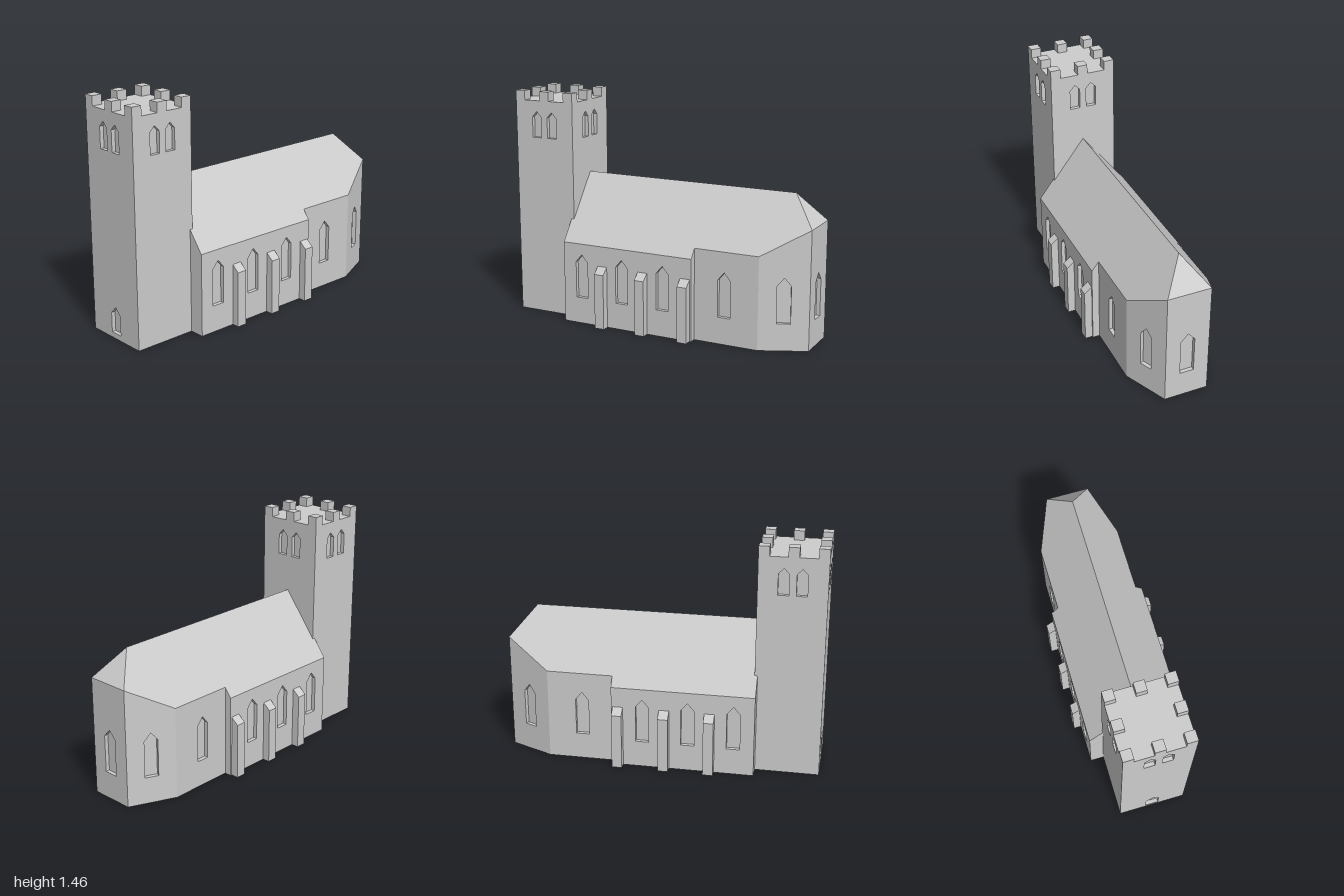
import * as THREE from 'three';

const stone = new THREE.MeshStandardMaterial({ color: 0xcccccc });
stone.name = 'stone';

const RECESS = 0.025;
const EAVE = 0.31, CHANCEL = 0.265, APSE = 0.14, RIDGE = 0.93;
// every roof slope lies on one plane falling away from the ridge
const roofY = (z) => RIDGE - 1.306 * Math.abs(z);

function add(parent, name, geometry) {
  const mesh = new THREE.Mesh(geometry, stone);
  mesh.name = name;
  parent.add(mesh);
  return mesh;
}

// flat convex polygon, corners counter-clockwise seen from outside
function face(parent, name, pts) {
  const pos = [];
  for (let i = 1; i < pts.length - 1; i++) pos.push(...pts[0], ...pts[i], ...pts[i + 1]);
  const g = new THREE.BufferGeometry();
  g.setAttribute('position', new THREE.Float32BufferAttribute(pos, 3));
  g.computeVertexNormals();
  return add(parent, name, g);
}

// mirrored pair of faces across z = 0
function facePair(parent, name, pts) {
  face(parent, name, pts);
  face(parent, name, pts.map(([x, y, z]) => [x, y, -z]).reverse());
}

// outline of a pointed window: centre u, half width w, sill, springing, peak
const lancet = ({ u, w, y0, y1, y2 }) =>
  [[u - w, y0], [u + w, y0], [u + w, y1], [u, y2], [u - w, y1]].map(([x, y]) => new THREE.Vector2(x, y));

// wall from a to b (left to right seen from outside) with recessed windows
function wall(parent, name, a, b, ha, hb, windows) {
  const dx = b[0] - a[0], dz = b[1] - a[1], len = Math.hypot(dx, dz);
  const group = new THREE.Group();
  group.name = name;
  group.position.set(a[0], 0, a[1]);
  group.rotation.y = Math.atan2(-dz, dx);
  const shape = new THREE.Shape([[0, 0], [len, 0], [len, hb], [0, ha]].map(([x, y]) => new THREE.Vector2(x, y)));
  for (const win of windows) {
    shape.holes.push(new THREE.Path(lancet(win)));
    const pane = add(group, 'windowRecess', new THREE.ShapeGeometry(new THREE.Shape(lancet(win))));
    pane.position.z = -RECESS;
  }
  const g = new THREE.ExtrudeGeometry(shape, { depth: RECESS, bevelEnabled: false });
  add(group, name + 'Surface', g.translate(0, 0, -RECESS));
  parent.add(group);
}

// the same wall on the front and, mirrored, on the back
function wallPair(parent, name, a, b, ha, hb, windows) {
  const len = Math.hypot(b[0] - a[0], b[1] - a[1]);
  wall(parent, name, a, b, ha, hb, windows);
  wall(parent, name, [b[0], -b[1]], [a[0], -a[1]], hb, ha, windows.map((w) => ({ ...w, u: len - w.u })));
}

const tall = (u) => ({ u, w: 0.042, y0: 0.17, y1: 0.405, y2: 0.455 });

function buildTower() {
  const tower = new THREE.Group();
  tower.name = 'tower';
  const x0 = -1, x1 = -0.582, z0 = -0.223, z1 = 0.211, top = 1.4;
  const corners = [[x0, z1], [x1, z1], [x1, z0], [x0, z0]];
  const names = ['towerFrontWall', 'towerEastWall', 'towerBackWall', 'towerWestWall'];
  names.forEach((name, i) => {
    const a = corners[i], b = corners[(i + 1) % 4];
    const mid = Math.hypot(b[0] - a[0], b[1] - a[1]) / 2;
    const windows = [-0.055, 0.055].map((d) => ({ u: mid + d, w: 0.033, y0: 1.163, y1: 1.295, y2: 1.33 }));
    if (i === 3) windows.push({ u: mid, w: 0.042, y0: 0.035, y1: 0.16, y2: 0.205 });
    wall(tower, name, a, b, top, top, windows);
  });
  face(tower, 'towerRoof', corners.map(([x, z]) => [x, top, z]));
  face(tower, 'towerBase', corners.map(([x, z]) => [x, 0, z]).reverse());

  // battlements: a block on each corner and in the middle of each side
  const s = 0.066, h = 0.06;
  for (const i of [-1, 0, 1]) for (const j of [-1, 0, 1]) {
    if (i === 0 && j === 0) continue;
    const block = add(tower, 'merlon', new THREE.BoxGeometry(s, h, s));
    block.position.set((x0 + x1) / 2 + i * (x1 - x0 - s) / 2, top + h / 2, (z0 + z1) / 2 + j * (z1 - z0 - s) / 2);
  }
  return tower;
}

function buildNave() {
  const nave = new THREE.Group();
  nave.name = 'nave';
  const x0 = -0.6, x1 = 0.3, e = roofY(EAVE);
  wallPair(nave, 'naveWall', [x0, EAVE], [x1, EAVE], e, e, [-0.47, -0.183, 0.103].map((x) => tall(x - x0)));
  facePair(nave, 'naveRoof', [[x0, e, EAVE], [x1, e, EAVE], [x1, RIDGE, 0], [x0, RIDGE, 0]]);
  const gable = (x) => [[x, 0, EAVE], [x, 0, -EAVE], [x, e, -EAVE], [x, RIDGE, 0], [x, e, EAVE]];
  face(nave, 'eastGable', gable(x1));
  face(nave, 'westGable', gable(x0).reverse());
  face(nave, 'naveBase', [[x0, 0, -EAVE], [x1, 0, -EAVE], [x1, 0, EAVE], [x0, 0, EAVE]]);

  // buttresses with sloping tops
  const w = 0.064;
  const profile = new THREE.Shape([[0.29, 0], [0.358, 0], [0.358, 0.355], [0.31, 0.396], [0.29, 0.396]]
    .map(([x, y]) => new THREE.Vector2(x, y)));
  for (const x of [-0.32, -0.035, 0.258]) for (const side of [-1, 1]) {
    const g = new THREE.ExtrudeGeometry(profile, { depth: w, bevelEnabled: false }).translate(0, 0, -w / 2);
    const buttress = add(nave, 'buttress', g);
    buttress.rotation.y = -side * Math.PI / 2;
    buttress.position.x = x;
  }
  return nave;
}

function buildChancel() {
  const chancel = new THREE.Group();
  chancel.name = 'chancel';
  const x0 = 0.3, x1 = 0.72, x2 = 1, hip = 0.845;
  const c = roofY(CHANCEL), p = roofY(APSE);
  wallPair(chancel, 'chancelWall', [x0, CHANCEL], [x1, CHANCEL], c, c, [tall(0.498 - x0)]);
  const slant = Math.hypot(x2 - x1, CHANCEL - APSE);
  wallPair(chancel, 'slantedWall', [x1, CHANCEL], [x2, APSE], c, p, [tall(slant / 2)]);
  wall(chancel, 'endWall', [x2, APSE], [x2, -APSE], p, p, [{ ...tall(APSE), w: 0.045 }]);
  facePair(chancel, 'chancelRoof',
    [[x0, RIDGE, 0], [x0, c, CHANCEL], [x1, c, CHANCEL], [x2, p, APSE], [hip, RIDGE, 0]]);
  face(chancel, 'hipRoof', [[x2, p, APSE], [x2, p, -APSE], [hip, RIDGE, 0]]);
  face(chancel, 'chancelBase', [[x0, 0, -CHANCEL], [x1, 0, -CHANCEL], [x2, 0, -APSE],
    [x2, 0, APSE], [x1, 0, CHANCEL], [x0, 0, CHANCEL]]);
  return chancel;
}

export function createModel() {
  const church = new THREE.Group();
  church.name = 'church';
  church.add(buildTower(), buildNave(), buildChancel());
  return church;
}
